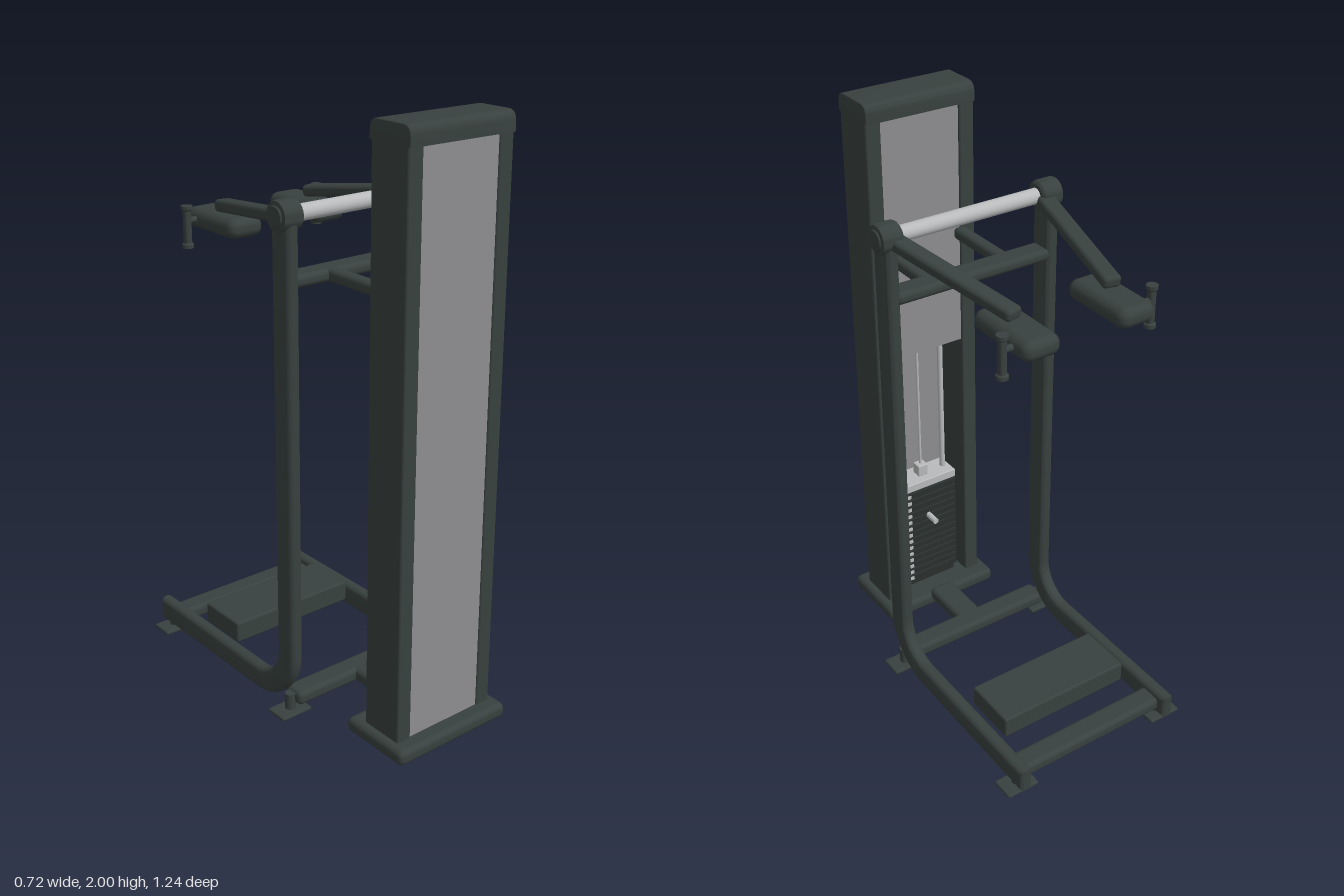
import * as THREE from 'three';
import { toCreasedNormals } from 'three/addons/utils/BufferGeometryUtils.js';
import { RoundedBoxGeometry } from 'three/addons/geometries/RoundedBoxGeometry.js';

const mat = (name, color) => {
  const m = new THREE.MeshStandardMaterial({ color });
  m.name = name;
  return m;
};

export function createModel() {
  const model = new THREE.Group();
  model.name = 'liftMachine';
  const frame = mat('frameCharcoal', 0x38413f);
  const panel = mat('panelGrey', 0x8e8e91);
  const steel = mat('steel', 0xb8babb);
  const iron = mat('stackIron', 0x2a302f);

  const add = (name, geometry, material, x = 0, y = 0, z = 0) => {
    const m = new THREE.Mesh(geometry, material);
    m.name = name;
    m.position.set(x, y, z);
    model.add(m);
    return m;
  };
  // box given by its limits on each axis, with optional rounded edges
  const block = (name, material, [x0, x1], [y0, y1], [z0, z1], r = 0) => {
    const s = [x1 - x0, y1 - y0, z1 - z0];
    const g = r ? new RoundedBoxGeometry(...s, 3, r) : new THREE.BoxGeometry(...s);
    return add(name, g, material, (x0 + x1) / 2, (y0 + y1) / 2, (z0 + z1) / 2);
  };
  // rod between two points
  const rod = (name, material, a, b, r, sides = 20) => {
    const p = new THREE.Vector3(...a), q = new THREE.Vector3(...b);
    const m = add(name, new THREE.CylinderGeometry(r, r, p.distanceTo(q), sides), material);
    m.position.copy(p).lerp(q, 0.5);
    m.quaternion.setFromUnitVectors(new THREE.Vector3(0, 1, 0), q.sub(p).normalize());
    return m;
  };
  // side outline (z, y) extruded across x, centred on x = 0
  const sideExtrude = (shape, width, bevel) => {
    const g = new THREE.ExtrudeGeometry(shape, {
      depth: width - 2 * bevel, bevelEnabled: true, bevelThickness: bevel,
      bevelSize: bevel, bevelOffset: -bevel, bevelSegments: 4, curveSegments: 16,
    });
    g.translate(0, 0, -(width - 2 * bevel) / 2);
    g.rotateY(-Math.PI / 2);
    return toCreasedNormals(g, 0.6);
  };

  // Tower: base, side walls, panels and rounded cap
  block('towerBase', frame, [-0.23, 0.23], [0.005, 0.058], [0.35, 0.62], 0.02);
  for (const s of [-1, 1]) {
    block('towerUpright', frame, [s * 0.172 - 0.028, s * 0.172 + 0.028], [0.05, 1.95], [0.41, 0.568], 0.008);
  }
  block('frontPanel', panel, [-0.147, 0.147], [0.055, 1.945], [0.555, 0.563]);
  block('backPanel', panel, [-0.147, 0.147], [1.08, 1.945], [0.418, 0.426]);
  const cap = new THREE.Shape();
  cap.moveTo(0.403, 1.937);
  cap.lineTo(0.574, 1.937);
  cap.lineTo(0.574, 1.965);
  cap.quadraticCurveTo(0.574, 2, 0.54, 2);
  cap.lineTo(0.437, 2);
  cap.quadraticCurveTo(0.403, 2, 0.403, 1.965);
  cap.closePath();
  add('towerCap', sideExtrude(cap, 0.4, 0.004), frame);

  // Weight stack with guide rods, labels and selector pin
  for (let i = 0; i < 14; i++) {
    const y = 0.085 + i * 0.029;
    block('weightPlate', iron, [-0.12, 0.12], [y, y + 0.025], [0.435, 0.535], 0.003);
    block('plateLabel', steel, [0.075, 0.1], [y + 0.006, y + 0.019], [0.431, 0.436]);
  }
  block('stackCore', iron, [-0.11, 0.11], [0.05, 0.49], [0.445, 0.525]);
  block('topPlate', steel, [-0.12, 0.12], [0.492, 0.525], [0.435, 0.535], 0.004);
  block('cableBlock', steel, [-0.02, 0.02], [0.525, 0.57], [0.465, 0.505], 0.004);
  for (const x of [-0.095, 0.095]) rod('guideRod', steel, [x, 0.06, 0.485], [x, 1.94, 0.485], 0.01);
  rod('liftCable', steel, [0, 0.56, 0.485], [0, 1.94, 0.485], 0.005, 10);
  rod('selectorPin', steel, [0, 0.363, 0.44], [0, 0.363, 0.385], 0.011);

  // Bent side rails: upright, curve and floor runner in one piece
  const rail = new THREE.Shape();
  rail.moveTo(-0.62, 0.02);
  rail.lineTo(-0.02, 0.02);
  rail.absarc(-0.02, 0.225, 0.205, -Math.PI / 2, 0, false);
  rail.lineTo(0.185, 1.68);
  rail.lineTo(0.1, 1.68);
  rail.lineTo(0.1, 0.225);
  rail.absarc(-0.02, 0.225, 0.12, 0, -Math.PI / 2, true);
  rail.lineTo(-0.62, 0.105);
  rail.closePath();
  const railGeometry = sideExtrude(rail, 0.048, 0.018);

  // Pivot hub profile: radius against length, with softened rims
  const hubProfile = [[0, -0.04], [0.038, -0.04], [0.046, -0.034], [0.049, -0.025], [0.049, 0.025],
    [0.046, 0.034], [0.034, 0.036], [0.031, 0.041], [0, 0.041]].map(p => new THREE.Vector2(...p));
  const hub = toCreasedNormals(new THREE.LatheGeometry(hubProfile, 32), 0.6);

  // Hand grip profile: slim bar with flared ends
  const gripProfile = [[0, -0.07], [0.019, -0.07], [0.019, -0.058], [0.014, -0.053], [0.014, 0.053],
    [0.019, 0.058], [0.019, 0.07], [0, 0.07]].map(p => new THREE.Vector2(...p));
  const grip = toCreasedNormals(new THREE.LatheGeometry(gripProfile, 20), 0.5);

  for (const s of [-1, 1]) {
    const span = (a, b) => (s > 0 ? [a, b] : [-b, -a]);
    add('sideRail', railGeometry, frame, s * 0.298);
    add('pivotHub', hub, frame, s * 0.296, 1.69, 0.142).rotation.z = -s * Math.PI / 2;

    // Swing arm running from the hub to the pad
    const from = new THREE.Vector3(s * 0.28, 1.682, 0.14);
    const to = new THREE.Vector3(s * 0.174, 1.612, -0.36);
    const arm = add('swingArm', new RoundedBoxGeometry(0.06, 0.04, from.distanceTo(to), 4, 0.014), frame);
    arm.position.copy(from).lerp(to, 0.5);
    arm.lookAt(to);

    block('shoulderPad', frame, span(0.105, 0.235), [1.525, 1.592], [-0.495, -0.222], 0.03);
    add('handGrip', grip, frame, s * 0.267, 1.54, -0.427);
    rod('gripMount', frame, [s * 0.2, 1.56, -0.427], [s * 0.267, 1.56, -0.427], 0.011);

    block('towerLink', frame, span(0.118, 0.165), [1.47, 1.512], [0.15, 0.42], 0.015);

    // Floor feet
    for (const z of [-0.566, 0.14]) {
      block('foot', frame, span(0.24, 0.36), [0, 0.014], [z - 0.042, z + 0.042], 0.006);
      rod('footStud', frame, [s * 0.298, 0.01, z], [s * 0.298, 0.07, z], 0.018);
    }
  }

  // Bars joining the two rails, and the floor link to the tower
  rod('pivotBar', steel, [-0.27, 1.69, 0.142], [0.27, 1.69, 0.142], 0.026, 28);
  block('upperCrossbar', frame, [-0.29, 0.29], [1.47, 1.512], [0.098, 0.182], 0.018);
  block('lowerCrossbar', frame, [-0.29, 0.29], [0.03, 0.08], [0.098, 0.182], 0.018);
  block('endCrossbar', frame, [-0.29, 0.29], [0.035, 0.085], [-0.592, -0.508], 0.018);
  block('floorLink', frame, [-0.048, 0.048], [0.03, 0.08], [0.16, 0.368], 0.018);

  // Foot platform
  block('footPlatform', frame, [-0.248, 0.248], [0.065, 0.143], [-0.428, -0.232], 0.008);

  return model;
}
